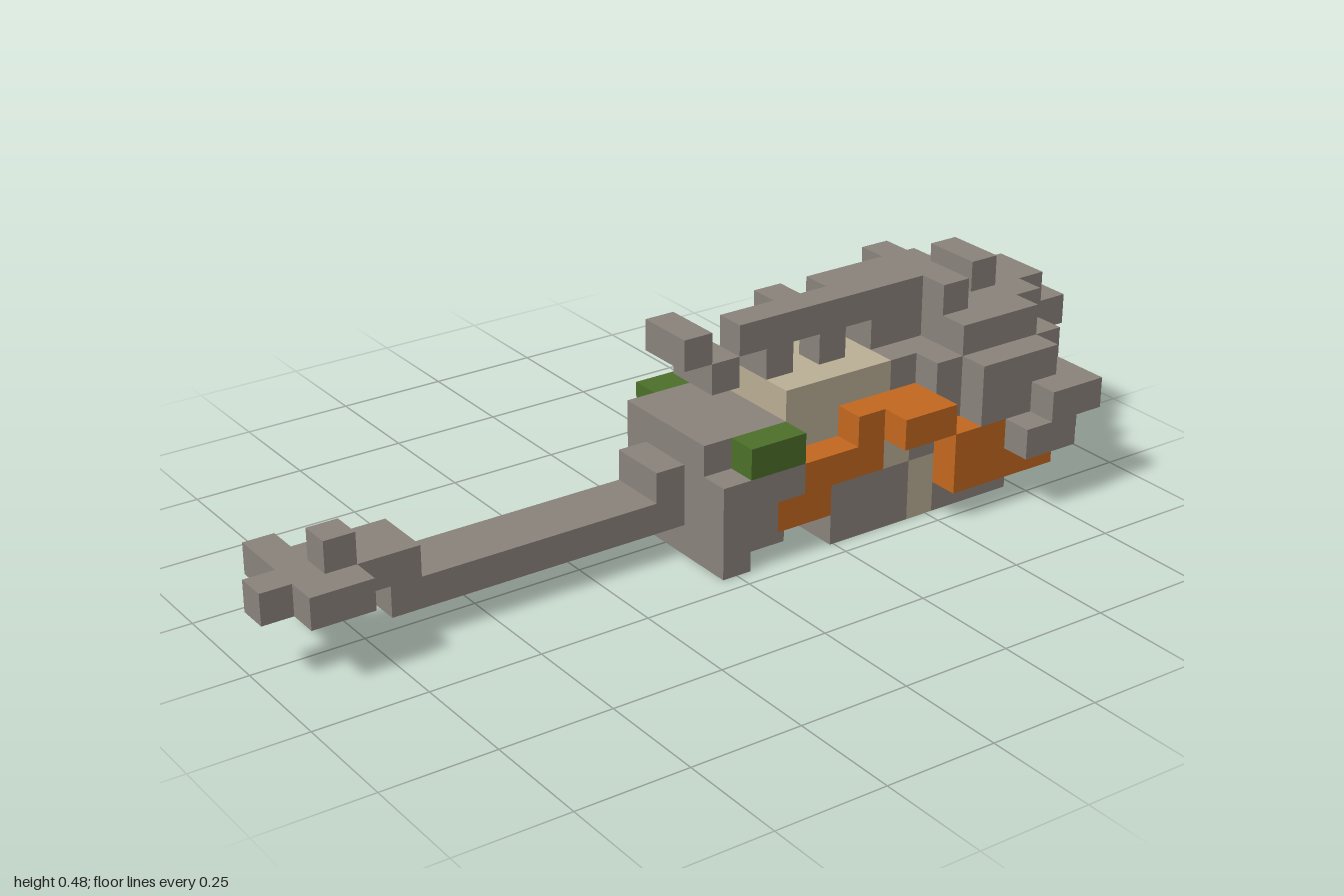
import * as THREE from 'three';
import { mergeGeometries } from 'three/addons/utils/BufferGeometryUtils.js';

const U = 2 / 29; // one cell
const mat = (name, color) => new THREE.MeshStandardMaterial({ name, color });

export function createModel() {
  const grey = mat('warm grey', 0x8b837c);
  const orange = mat('orange', 0xc3681f);
  const cream = mat('cream', 0xbbaf95);
  const green = mat('green', 0x4c7029);

  const cells = new Map();
  const parts = new Map();
  const key = (x, y, z) => `${x},${y},${z}`;

  // Fill inclusive cell ranges; later parts replace earlier ones
  const fill = (name, material, ...boxes) => {
    parts.set(name, material);
    for (const [x0, x1, y0, y1, z0, z1] of boxes)
      for (let x = x0; x <= x1; x++)
        for (let y = y0; y <= y1; y++)
          for (let z = z0; z <= z1; z++) cells.set(key(x, y, z), { x, y, z, name });
  };
  // Same box on both sides: d0..d1 cells out from the middle plane
  const both = (x0, x1, y0, y1, d0, d1) => [
    [x0, x1, y0, y1, d0, d1], [x0, x1, y0, y1, -1 - d1, -1 - d0]];

  // Tail shaft and forked tip
  fill('tail', grey, [4, 13, 1, 1, -1, 0], [13, 13, 2, 2, -1, 0]);
  fill('tailTip', grey, [0, 0, 2, 2, 0, 0], [1, 1, 2, 2, -2, 1], [2, 2, 2, 2, -1, 1],
    [3, 4, 2, 2, -1, 0], [2, 2, 3, 3, 0, 0]);

  // Body, haunch and feet
  fill('body', grey, [14, 16, 0, 3, -2, 1], [14, 14, 0, 2, 2, 2], [17, 21, 1, 3, -2, 1],
    ...both(15, 15, 1, 2, 2, 2), ...both(16, 16, 2, 2, 2, 2), ...both(21, 21, 2, 2, 2, 2));
  fill('legs', grey, [18, 20, 0, 1, -3, 2]);

  // Pale back and chest
  fill('paleBack', cream, [17, 20, 4, 4, -2, 1], [17, 18, 3, 3, -2, 1]);
  fill('paleChest', cream, [21, 21, 0, 1, -3, 2], ...both(20, 20, 2, 2, 2, 2));

  // Stepped side stripes and the patches at their rear
  fill('sideStripe', orange, ...both(16, 17, 1, 1, 2, 2), ...both(17, 19, 2, 2, 2, 2),
    ...both(19, 21, 3, 3, 2, 2), [20, 21, 3, 3, 3, 3]);
  fill('sidePatch', green, ...both(15, 16, 3, 3, 2, 2));

  // Large rounded head mass
  fill('head', grey, [22, 24, 0, 0, -3, 2], [25, 25, 0, 0, -2, 1], [22, 26, 1, 1, -2, 1],
    [22, 25, 2, 3, -3, 2], [26, 26, 2, 3, -3, 2], [24, 26, 2, 3, -4, 3],
    [23, 26, 3, 3, -4, 3], [21, 21, 4, 4, -2, 1], [22, 22, 4, 4, -3, 2],
    [23, 25, 4, 4, -4, 3], [26, 26, 4, 4, -3, 2], [21, 22, 5, 5, -1, 0],
    [23, 25, 5, 5, -3, 2], [26, 26, 5, 5, -2, 1]);
  fill('headKnobs', grey, [25, 25, 2, 3, -5, -5], [24, 25, 2, 2, 4, 4], [25, 26, 3, 3, 4, 4],
    [27, 27, 4, 5, -1, 0], [28, 28, 4, 4, -1, 0], [27, 27, 2, 2, -1, -1]);
  fill('cheek', orange, ...both(22, 25, 1, 1, 2, 3), ...both(22, 23, 2, 2, 3, 3));

  // Ridge on posts along the top
  fill('ridge', grey, [14, 14, 6, 6, -1, 0], [15, 15, 5, 5, -1, 0], [16, 23, 6, 6, 0, 0],
    [18, 18, 6, 6, -1, -1], [20, 22, 6, 6, -1, -1], [23, 23, 6, 6, -2, 1],
    [17, 17, 5, 5, -1, 0], [19, 19, 5, 5, 0, 0], [25, 25, 6, 6, -1, 0]);

  // One square plate for each exposed direction
  const dirs = [[1, 0, 0], [-1, 0, 0], [0, 1, 0], [0, -1, 0], [0, 0, 1], [0, 0, -1]];
  const front = new THREE.Vector3(0, 0, 1);
  const plates = dirs.map((d) => new THREE.PlaneGeometry(U, U)
    .applyQuaternion(new THREE.Quaternion().setFromUnitVectors(front, new THREE.Vector3(...d)))
    .translate(d[0] * U / 2, d[1] * U / 2, d[2] * U / 2));

  const faces = new Map();
  for (const { x, y, z, name } of cells.values())
    dirs.forEach(([dx, dy, dz], i) => {
      if (cells.has(key(x + dx, y + dy, z + dz))) return;
      if (!faces.has(name)) faces.set(name, []);
      faces.get(name).push(plates[i].clone()
        .translate(-1 + (x + 0.5) * U, (y + 0.5) * U, (z + 0.5) * U));
    });

  const model = new THREE.Group();
  model.name = 'blockCreature';
  for (const [name, list] of faces) {
    const mesh = new THREE.Mesh(mergeGeometries(list), parts.get(name));
    mesh.name = name;
    model.add(mesh);
  }
  return model;
}
